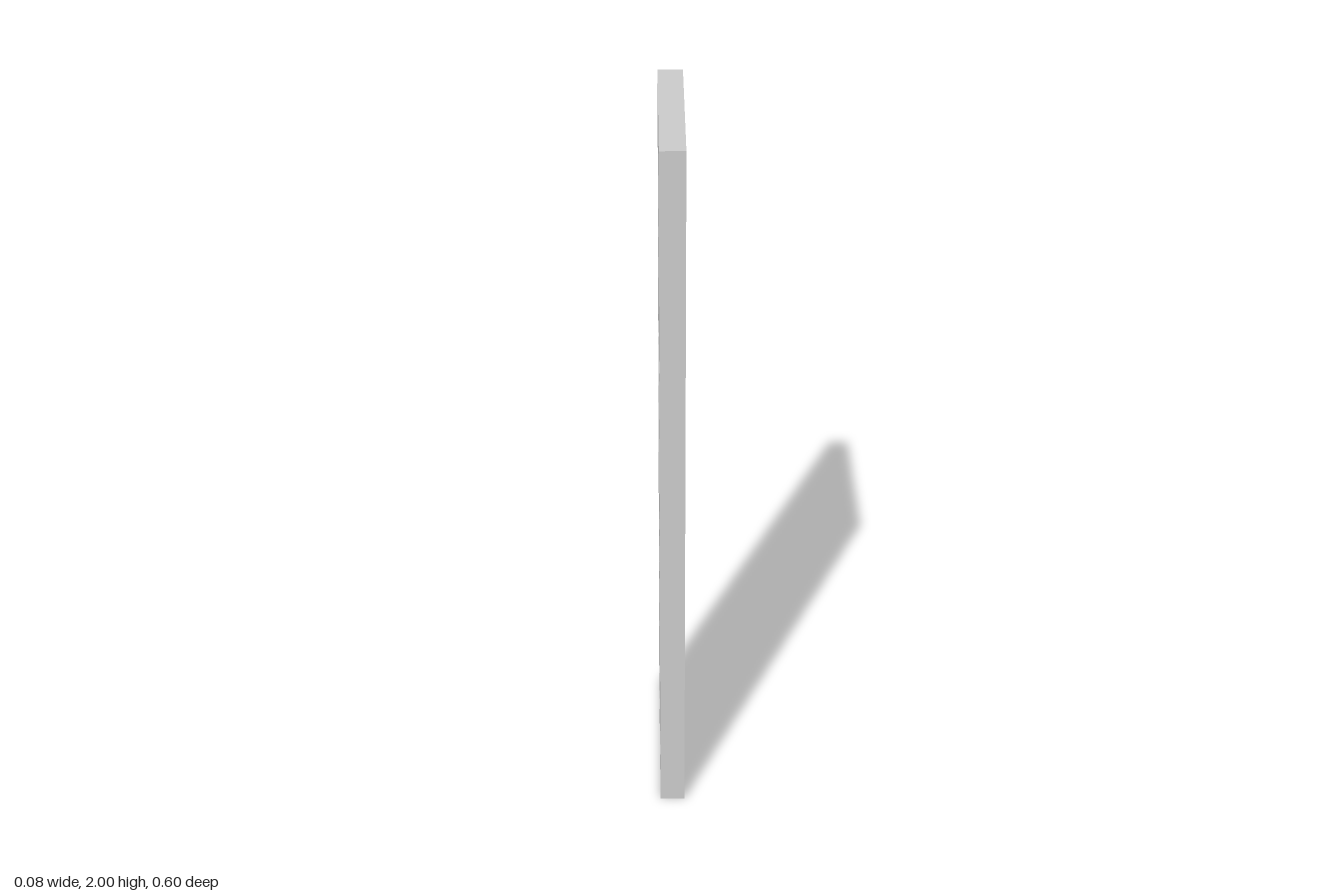
import * as THREE from 'three';

const WIDTH = 0.598, HEIGHT = 2, DEPTH = 0.069;
const STILE = 0.077, RAIL = 0.073, BAR = 0.03;
const COLUMNS = 4, ROWS = 3;
const YAW = 0.021; // the panel stands slightly turned

function rectangle(target, x, y, w, h) {
  target.moveTo(x, y);
  target.lineTo(x + w, y);
  target.lineTo(x + w, y + h);
  target.lineTo(x, y + h);
  target.closePath();
  return target;
}

export function createModel() {
  const group = new THREE.Group();
  group.name = 'windowPanel';

  // Outer frame outline
  const outline = rectangle(new THREE.Shape(), -WIDTH / 2, 0, WIDTH, HEIGHT);

  // Grid of openings; the material left between them forms the glazing bars
  const paneW = (WIDTH - 2 * STILE - (COLUMNS - 1) * BAR) / COLUMNS;
  const paneH = (HEIGHT - 2 * RAIL - (ROWS - 1) * BAR) / ROWS;
  for (let c = 0; c < COLUMNS; c++) {
    for (let r = 0; r < ROWS; r++) {
      const x = -WIDTH / 2 + STILE + c * (paneW + BAR);
      const y = RAIL + r * (paneH + BAR);
      outline.holes.push(rectangle(new THREE.Path(), x, y, paneW, paneH));
    }
  }

  const geometry = new THREE.ExtrudeGeometry(outline, { depth: DEPTH, bevelEnabled: false });
  geometry.translate(0, 0, -DEPTH / 2);

  // Frame with flush glazing bars, its broad faces towards the sides
  const frame = new THREE.Mesh(geometry, new THREE.MeshStandardMaterial({ color: 0xcccccc }));
  frame.name = 'latticeFrame';
  frame.rotation.y = Math.PI / 2 + YAW;
  group.add(frame);
  return group;
}
